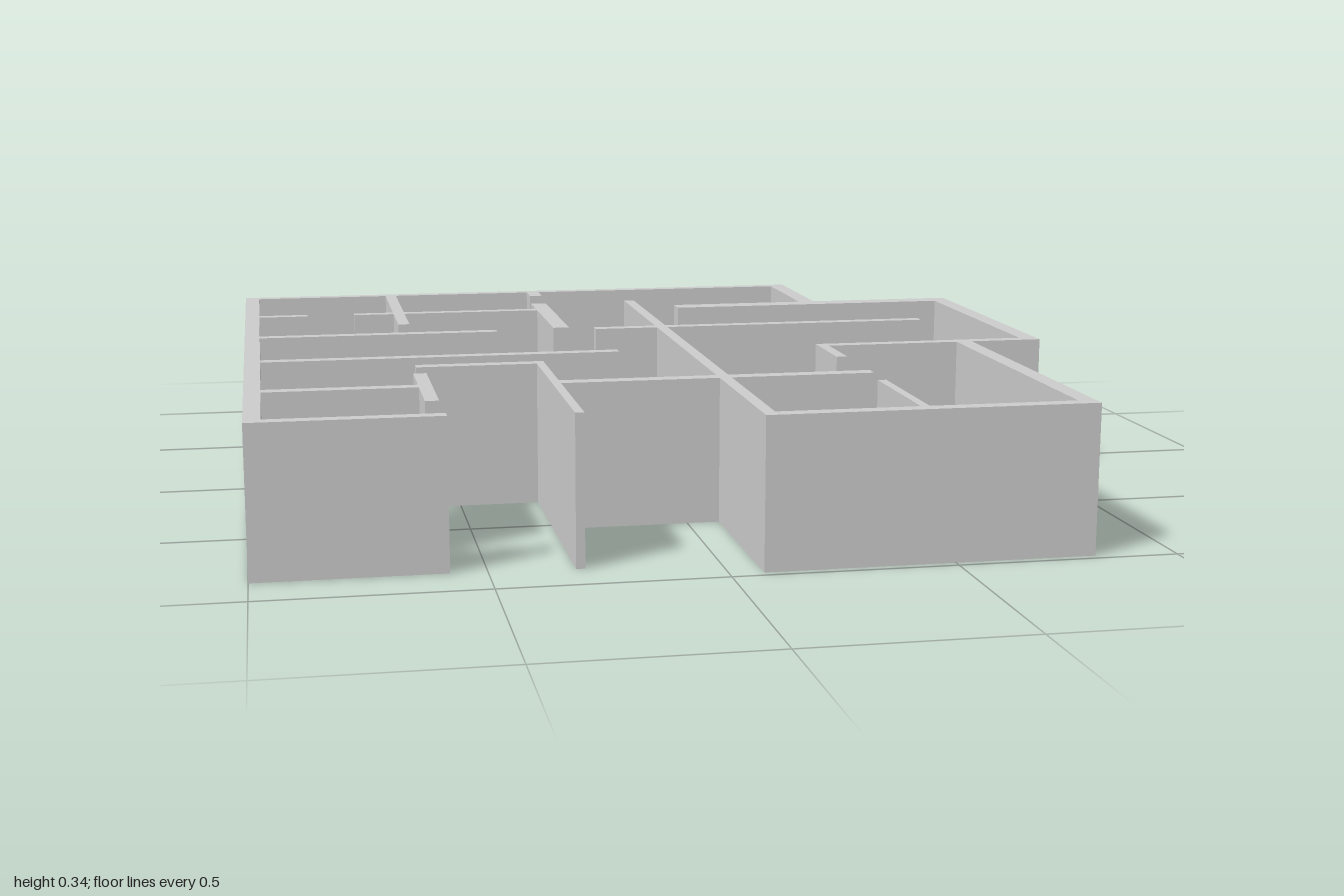
import * as THREE from 'three';

const HEIGHT = 0.34;

// Each wall: name, then its footprint x0, x1, z0, z1
const WALLS = [
  // outer shell
  ['backWall', -1, 0.61, -0.985, -0.953],
  ['rightSideWall', -1, -0.962, -0.953, 0.865],
  ['frontRightWall', -0.962, -0.58, 0.833, 0.865],
  ['backLeftReturnWall', 0.567, 0.61, -0.953, -0.62],
  ['backLeftWall', 0.2, 1, -0.62, -0.565],
  ['leftSideWall', 0.957, 1, -0.565, 0.115],
  ['leftStepWall', 0.417, 1, 0.115, 0.147],
  ['frontLeftSideWall', 0.778, 0.818, 0.147, 0.945],
  ['frontLeftWall', 0.075, 0.818, 0.945, 0.98],
  // long partitions
  ['centreWall', 0.075, 0.103, -0.73, 0.945],
  ['crossWallLeft', 0.103, 0.805, -0.257, -0.225],
  ['crossWallLeftEnd', -0.09, 0.075, -0.257, -0.225],
  ['crossWallRight', -0.962, -0.35, -0.262, -0.23],
  ['middleWallRight', -0.962, -0.09, 0.105, 0.137],
  // front rooms
  ['closetBackWall', -0.6, -0.293, 0.238, 0.272],
  ['closetSideWall', -0.313, -0.293, 0.272, 0.88],
  ['frontCrossWall', -0.293, 0.075, 0.5, 0.537],
  ['frontCrossWallEnd', 0.103, 0.443, 0.5, 0.537],
  ['frontRightPartition', -0.962, -0.613, 0.497, 0.53],
  ['frontRightCrosspiece', -0.613, -0.582, 0.353, 0.695],
  ['frontLeftPartition', 0.423, 0.443, 0.63, 0.945],
  ['leftDoorStub', 0.417, 0.443, 0.147, 0.31],
  // back rooms
  ['backDoorStub', -0.18, -0.145, -0.953, -0.877],
  ['backPartition', -0.597, -0.567, -0.953, -0.4],
  ['backCrossWall', -0.567, -0.197, -0.62, -0.59],
  ['backCrossWallEnd', -0.705, -0.597, -0.62, -0.59],
  ['rightDoorStub', -0.962, -0.832, -0.62, -0.59],
  ['backHallWall', -0.197, -0.155, -0.72, -0.267],
];

export function createModel() {
  const group = new THREE.Group();
  group.name = 'floorPlan';
  const material = new THREE.MeshStandardMaterial({ color: 0xcccccc });
  for (const [name, x0, x1, z0, z1] of WALLS) {
    const wall = new THREE.Mesh(new THREE.BoxGeometry(x1 - x0, HEIGHT, z1 - z0), material);
    wall.name = name;
    wall.position.set((x0 + x1) / 2, HEIGHT / 2, (z0 + z1) / 2);
    group.add(wall);
  }
  return group;
}
